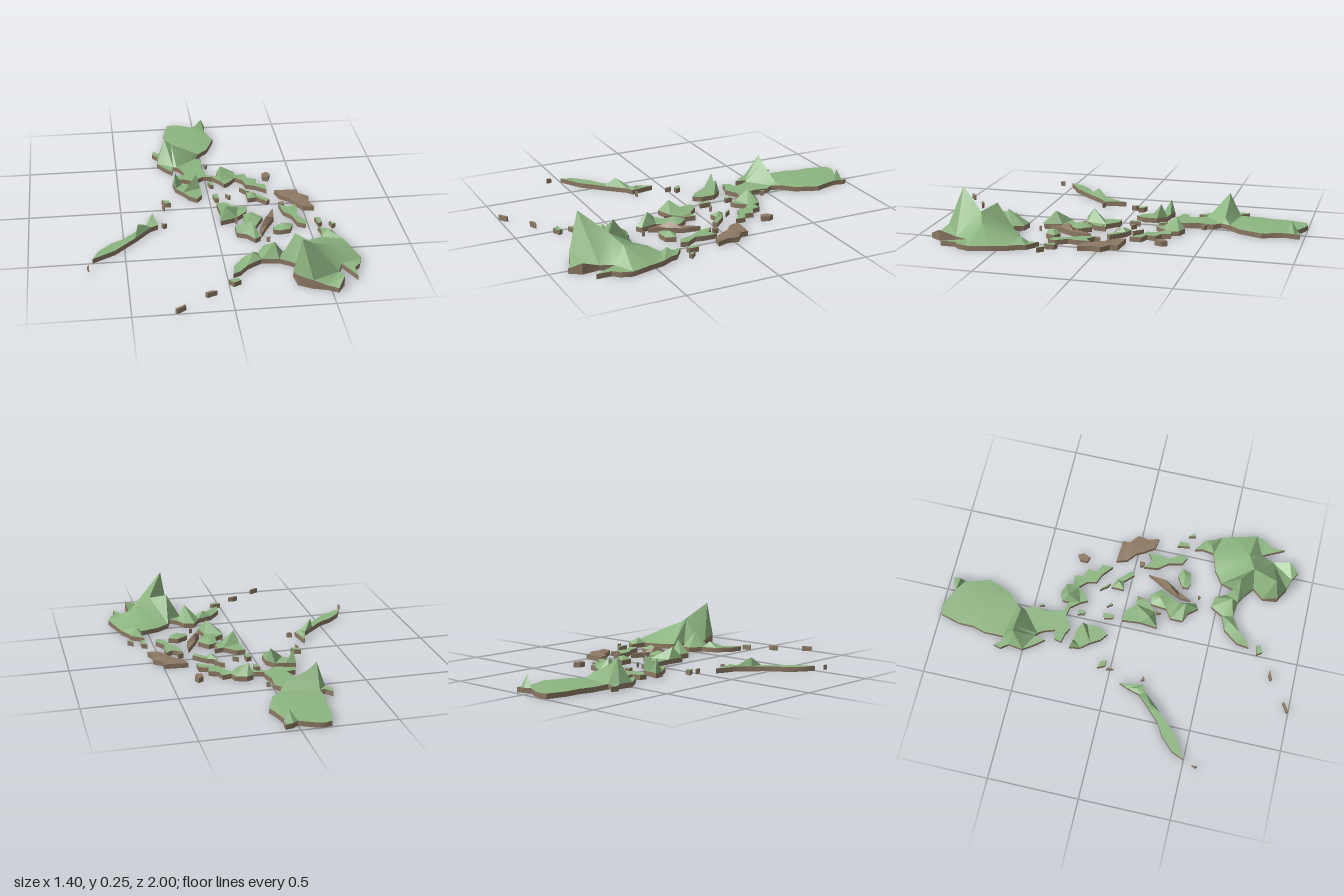
import * as THREE from 'three';
import { toCreasedNormals } from 'three/addons/utils/BufferGeometryUtils.js';

const green = new THREE.MeshStandardMaterial({ color: 0x8db581 });
green.name = 'grass green';
const brown = new THREE.MeshStandardMaterial({ color: 0x8c7863 });
brown.name = 'earth brown';

const SHORE = 2.7; // default shore height, in hundredths like all coordinates
const area = (p, q, r) => (q.x - p.x) * (r.y - p.y) - (q.y - p.y) * (r.x - p.x);

function inCircle(a, b, c, d) {
  const [ax, ay, bx, by, cx, cy] = [a.x - d.x, a.y - d.y, b.x - d.x, b.y - d.y, c.x - d.x, c.y - d.y];
  return (ax * ax + ay * ay) * (bx * cy - cx * by) - (bx * bx + by * by) * (ax * cy - cx * ay)
    + (cx * cx + cy * cy) * (ax * by - bx * ay) > 1e-6;
}

// Triangulate the coast, insert the summits, then flip edges to even out the triangles
function triangulate(coast, summits) {
  const pts = [...coast, ...summits];
  let tris = THREE.ShapeUtils.triangulateShape(coast, [])
    .map(([a, b, c]) => (area(pts[a], pts[b], pts[c]) > 0 ? [a, b, c] : [a, c, b]));
  const flipAll = () => {
    for (let pass = 0, changed = true; changed && pass < 300; pass++) {
      changed = false;
      for (let i = 0; i < tris.length && !changed; i++) for (let k = 0; k < 3 && !changed; k++) {
        const a = tris[i][k], b = tris[i][(k + 1) % 3], c = tris[i][(k + 2) % 3];
        const j = tris.findIndex(t => t.some((v, n) => v === b && t[(n + 1) % 3] === a));
        if (j < 0) continue;
        const d = tris[j].find(v => v !== a && v !== b);
        if (area(pts[c], pts[a], pts[d]) > 1e-6 && area(pts[c], pts[d], pts[b]) > 1e-6
          && inCircle(pts[a], pts[b], pts[c], pts[d])) {
          tris[i] = [c, a, d];
          tris[j] = [c, d, b];
          changed = true;
        }
      }
    }
  };
  summits.forEach((p, n) => {
    const s = coast.length + n;
    const i = tris.findIndex(([a, b, c]) =>
      area(pts[a], pts[b], p) > 1e-6 && area(pts[b], pts[c], p) > 1e-6 && area(pts[c], pts[a], p) > 1e-6);
    if (i < 0) return;
    const [a, b, c] = tris[i];
    tris.splice(i, 1, [a, b, s], [b, c, s], [c, a, s]);
    flipAll();
  });
  return { pts, tris };
}

function surface(name, corners, material) {
  const geo = new THREE.BufferGeometry();
  geo.setAttribute('position', new THREE.Float32BufferAttribute(corners.flat(), 3));
  const mesh = new THREE.Mesh(toCreasedNormals(geo, 0.6), material);
  mesh.name = name;
  return mesh;
}

export function createModel() {
  const model = new THREE.Group();
  model.name = 'archipelago';

  // coast: [x, z, optional shore height]; summits: [x, z, height]
  function island(name, coast, summits = [], topMaterial = green) {
    const point = ([x, z, h = SHORE]) => Object.assign(new THREE.Vector2(x, z), { h });
    const shore = coast.map(point);
    if (THREE.ShapeUtils.area(shore) < 0) shore.reverse();
    const { pts, tris } = triangulate(shore, summits.map(point));
    const up = p => [p.x / 100, p.h / 100, p.y / 100];
    const down = p => [p.x / 100, 0, p.y / 100];
    const top = [], base = [];
    for (const [a, b, c] of tris) {
      top.push(up(pts[a]), up(pts[c]), up(pts[b]));
      base.push(down(pts[a]), down(pts[b]), down(pts[c]));
    }
    shore.forEach((p, i) => {
      const q = shore[(i + 1) % shore.length];
      base.push(down(p), up(p), down(q), up(p), up(q), down(q));
    });
    const group = new THREE.Group();
    group.name = name;
    group.add(surface('land', top, topMaterial), surface('cliff', base, brown));
    model.add(group);
  }

  // Large northern island with its eastern tail
  island('northIsland', [
    [-16, -99], [-12, -100], [-8, -99], [0, -95], [3, -97], [7, -98], [7, -95], [6, -91], [8, -83], [10, -78],
    [7, -70], [5, -65], [-1, -59], [-3, -54], [0, -50], [-1, -42], [1, -36], [1, -33], [7, -31], [7, -35],
    [11, -37], [17, -35], [18, -31], [23, -32], [24, -27], [29, -25], [28, -20], [33, -18], [33, -12],
    [27, -17], [22, -19], [21, -24], [17, -28], [13, -23], [10, -21], [8, -25], [4, -30], [-1, -31],
    [-4, -29], [-8, -27], [-12, -29], [-17, -30], [-16, -34], [-11, -35], [-13, -41], [-15, -44], [-17, -45],
    [-18, -39], [-22, -44], [-26, -50], [-25, -58], [-28, -62], [-27, -66], [-24, -62], [-21, -62],
    [-21, -73], [-19, -80], [-19, -88],
  ], [[-21, -55.5, 15.5], [-17, -56, 12], [-4.5, -56, 6], [4.5, -93, 9], [0, -77, 4], [9, -32, 8.5]]);

  // Large southern island with its western peninsula
  island('southIsland', [
    [54, 31], [61, 36], [62, 40], [65, 45], [67, 53], [70, 64], [68, 70], [65, 73], [65, 81], [62, 75],
    [59, 69], [56, 76], [57, 85, 6], [53, 91], [48, 88], [41, 86, 5], [34, 82, 6], [33, 74], [38, 68],
    [33, 64], [28, 61], [19, 60], [11, 65], [7, 70], [3, 72], [4, 65], [10, 57], [18, 54], [22, 47],
    [28, 48], [31, 54], [35, 57], [37, 50], [44, 45], [54, 42], [55, 36],
  ], [[36, 79, 25], [36, 60, 17], [45, 66, 14], [54, 62, 10], [57, 40, 6], [26, 57.5, 11], [15, 57.5, 6]]);

  // Middle islands
  island('ridgeIsland', [[-19, -25], [-14, -23.5], [-8, -23], [-4, -18], [-4, -10], [-7, -6], [-11, -9],
    [-14, -14], [-18, -19]], [[-17.8, -23.2, 10.5], [-6, -20, 10.5]]);
  island('longWestIsland', [[-33, 7], [-31, 20], [-35, 22], [-44, 32], [-47, 35], [-55, 43], [-67, 50],
    [-64, 43], [-57, 36], [-50, 32], [-43, 25], [-37, 19], [-35, 12]], [[-42, 26, 7.5], [-34, 17, 4]]);
  island('westMiddleIsland', [[3, 0], [8, 0], [14, 6], [19, 5], [18, 11], [12, 17], [6, 19], [3, 20], [4, 10]],
    [[6, 15, 9]]);
  island('centralIsland', [[16, 14], [21, 12], [26, 18], [23, 23], [20, 29], [22, 38], [19, 40], [15, 35],
    [10, 33], [10, 26], [15, 23]], [[18, 33, 9.5], [20, 18, 5]]);
  island('slimBrownIsland', [[33, 9], [32, 19], [27, 27], [23, 35], [23, 29], [27, 20]], [[27, 23, 6]], brown);
  island('roundIsland', [[30, 29], [36, 25], [41, 27], [39, 32], [33, 33], [30, 32]], [[36, 29, 5]]);
  island('eastMiddleIsland', [[37, 5], [42, 9], [46, 6], [46, 13], [45, 18], [49, 24], [48, 28], [44, 26],
    [42, 18], [38, 13]], [[43, 12, 6]]);
  island('eastBrownIsland', [[37, -11], [50, -10], [50, -6], [55, -2], [54, 4], [56, 10], [50, 9], [46, 3],
    [44, -1], [39, -5]], [[48, -3, 4]], brown);
  island('bentIsland', [[21, -10], [26, -8], [33, -1], [31, 1], [26, -4], [21, -3]], [[24, -6, 5]]);

  // Green islets
  [
    [[1, -25], [4, -25], [4, -21], [2, -21]],
    [[1, -47], [3, -46], [2, -44]],
    [[2, -10], [5, -11], [5, -5], [3, -5]],
    [[9, -10], [12, -8], [11, -7]],
    [[18, -16], [20, -15], [23, -11], [21, -12]],
    [[-27, -7], [-23, -6], [-22, -3], [-25, -3]],
    [[0, 77], [5, 76], [6, 78], [2, 80]],
    [[54, 21], [57, 22], [57, 27], [55, 28]],
    [[61, 26], [64, 29], [62, 30]],
  ].forEach((coast, i) => island(`greenIslet${i + 1}`, coast));

  // Brown islets
  [
    [[33, -31], [36, -33], [37.5, -30], [36, -26], [33, -27]],
    [[-27, -2], [-25.5, -1], [-26, 2]],
    [[-29, 18], [-26, 19], [-28, 20]],
    [[-70, 57], [-69, 55], [-69, 58]],
    [[-13, 87], [-10, 85.5], [-7, 86], [-12, 88]],
    [[-29, 99], [-24, 96], [-23.5, 97], [-28, 100]],
    [[37, 3], [40, 2], [40, 5], [38, 5]],
    [[25, 39], [27, 38.5], [26.5, 40]],
    [[11, 18], [12.5, 17.5], [12, 20.5]],
    [[15, 7], [19, 5.5], [18, 11.5], [16, 12]],
  ].forEach((coast, i) => island(`brownIslet${i + 1}`, coast, [], brown));

  return model;
}
